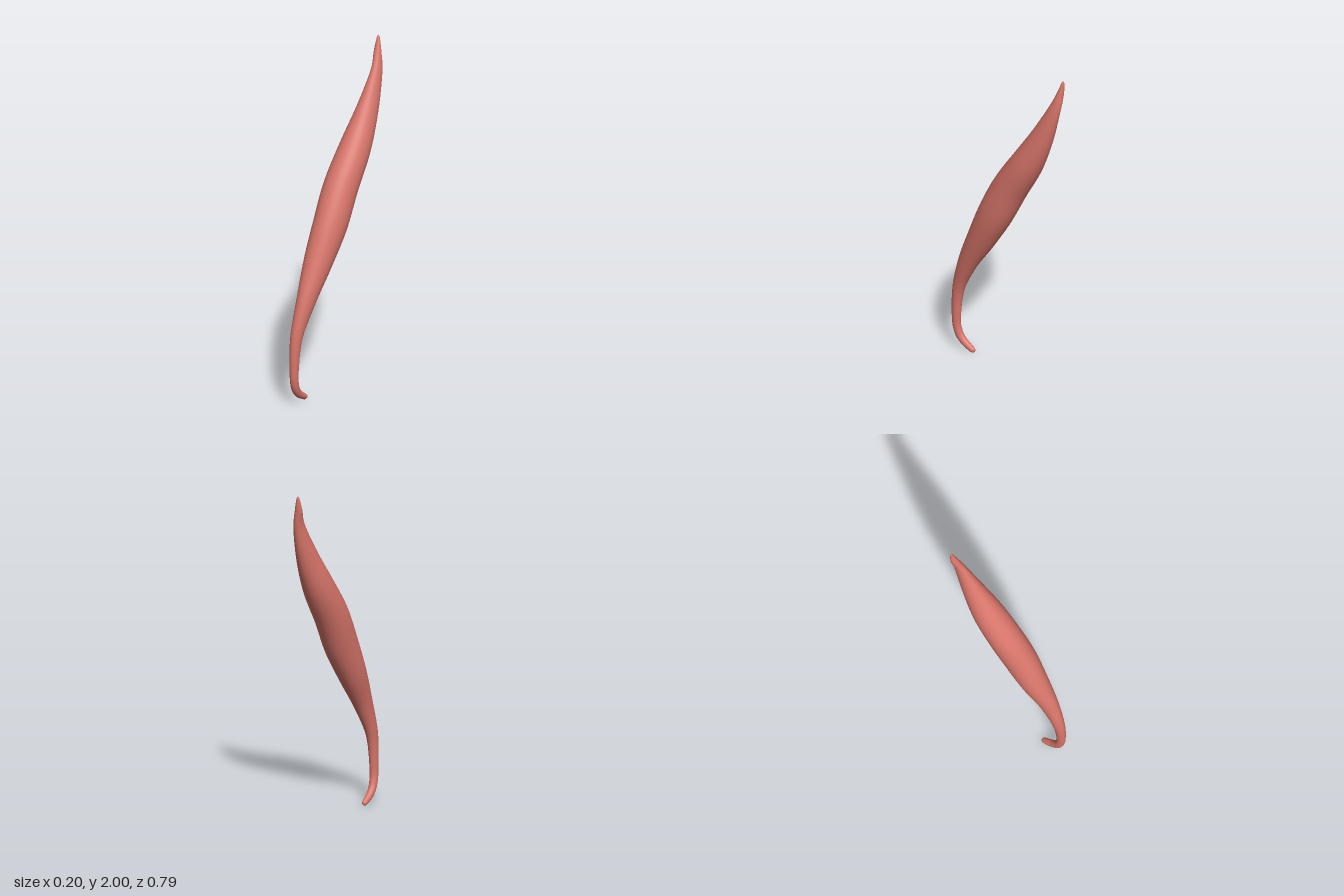
import * as THREE from 'three';

// Stations from the hooked lower tendon to the upper tip:
// centre x, y, z, half width across x, half thickness
const STATIONS = [
  [-0.004, 0.012, 0.247, 0.0005, 0.0005],
  [-0.003, 0.016, 0.254, 0.013, 0.014],
  [0.0, 0.03, 0.28, 0.018, 0.019],
  [0.006, 0.06, 0.324, 0.021, 0.023],
  [0.013, 0.11, 0.356, 0.023, 0.025],
  [0.018, 0.2, 0.368, 0.024, 0.027],
  [0.018, 0.4, 0.35, 0.033, 0.037],
  [0.02, 0.6, 0.275, 0.051, 0.06],
  [0.012, 0.8, 0.172, 0.078, 0.086],
  [0.008, 1.0, 0.068, 0.093, 0.104],
  [-0.005, 1.2, -0.033, 0.096, 0.104],
  [-0.012, 1.4, -0.155, 0.087, 0.094],
  [-0.018, 1.6, -0.26, 0.058, 0.07],
  [-0.028, 1.8, -0.343, 0.029, 0.04],
  [-0.047, 1.91, -0.372, 0.022, 0.021],
  [-0.055, 1.985, -0.386, 0.009, 0.008],
  [-0.056, 2.0, -0.388, 0.0005, 0.0005],
];

// Loft of elliptical rings held square to the centre line
function loft(stations, rings, sides) {
  const spine = new THREE.CatmullRomCurve3(
    stations.map((s) => new THREE.Vector3(s[0], s[1], s[2])), false, 'catmullrom', 0.5);
  const radii = new THREE.CatmullRomCurve3(
    stations.map((s) => new THREE.Vector3(s[3], s[4], 0)), false, 'catmullrom', 0.5);
  const positions = [];
  const index = [];
  for (let i = 0; i <= rings; i++) {
    const c = spine.getPoint(i / rings);
    const r = radii.getPoint(i / rings);
    const t = spine.getTangent(i / rings);
    const n = new THREE.Vector3(0, -t.z, t.y).normalize();
    for (let j = 0; j < sides; j++) {
      const a = (j / sides) * Math.PI * 2;
      const across = Math.cos(a) * Math.max(r.x, 0.0005);
      const out = Math.sin(a) * Math.max(r.y, 0.0005);
      positions.push(c.x + across, c.y + n.y * out, c.z + n.z * out);
      if (i < rings) {
        const k = (j + 1) % sides;
        const p = i * sides;
        const q = p + sides;
        index.push(p + j, q + j, p + k, p + k, q + j, q + k);
      }
    }
  }
  const geometry = new THREE.BufferGeometry();
  geometry.setAttribute('position', new THREE.Float32BufferAttribute(positions, 3));
  geometry.setIndex(index);
  geometry.computeVertexNormals();
  return geometry;
}

export function createModel() {
  const group = new THREE.Group();
  group.name = 'muscle';
  const flesh = new THREE.MeshStandardMaterial({ color: 0xd9766b });
  flesh.name = 'flesh pink';

  // Spindle-shaped belly running into both tendons
  const belly = new THREE.Mesh(loft(STATIONS, 96, 32), flesh);
  belly.name = 'muscleBelly';
  group.add(belly);
  return group;
}
